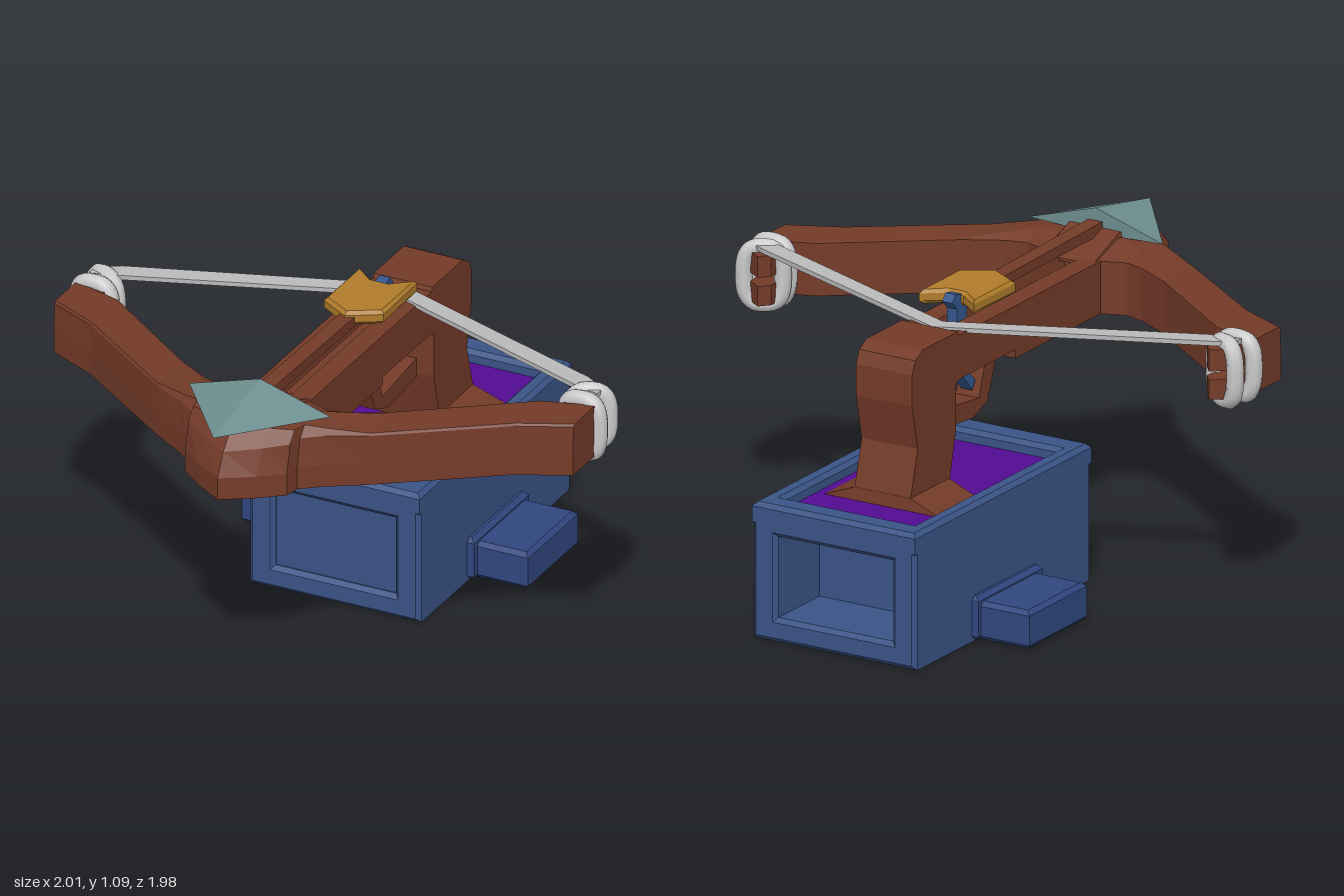
import * as THREE from 'three';

const mat = (color) => new THREE.MeshStandardMaterial({ color, flatShading: true, side: THREE.DoubleSide });
const WOOD = mat(0x743b28), BLUE = mat(0x3a5486), TAB = mat(0x30477f), PURPLE = mat(0x520c92);
const STEEL = mat(0x6f8f90), GOLD = mat(0xb07c2a), LATCH = mat(0x35588f);
const CORD = new THREE.MeshStandardMaterial({ color: 0xcccccc });
const BAND = mat(0xbababa);

const shapeOf = (pts) => new THREE.Shape(pts.map(([x, y]) => new THREE.Vector2(x, y)));

// Extrusion from depth a to b, with an optional one-step chamfer that stays inside a..b
function extrude(shape, a, b, bevel = 0) {
  return new THREE.ExtrudeGeometry(shape, {
    depth: b - a - 2 * bevel, bevelEnabled: bevel > 0, bevelSize: bevel,
    bevelThickness: bevel, bevelSegments: 1, curveSegments: 4,
  }).translate(0, 0, a + bevel);
}
// Outline in (x, z), extruded upward
const slab = (pts, y0, y1, bevel) =>
  extrude(shapeOf(pts.map(([x, z]) => [x, -z])), y0, y1, bevel).rotateX(-Math.PI / 2);
// Outline in (z, y), extruded symmetrically across x
const profile = (pts, halfWidth, bevel) =>
  extrude(shapeOf(pts), -halfWidth, halfWidth, bevel).rotateY(-Math.PI / 2);

const rect = (x0, y0, x1, y1) => [[x0, y0], [x1, y0], [x1, y1], [x0, y1]];

// Skin over equal-length rings of [x, y, z], capped at both ends and facing outward
function loft(rings) {
  const tris = [], n = rings[0].length;
  for (let i = 0; i < rings.length - 1; i++) {
    for (let j = 0; j < n; j++) {
      const k = (j + 1) % n, A = rings[i], B = rings[i + 1];
      tris.push([A[j], A[k], B[k]], [A[j], B[k], B[j]]);
    }
  }
  const last = rings[rings.length - 1];
  for (let j = 1; j < n - 1; j++) {
    tris.push([rings[0][0], rings[0][j + 1], rings[0][j]], [last[0], last[j], last[j + 1]]);
  }
  const v = (p) => new THREE.Vector3(...p);
  const volume = tris.reduce((s, [a, b, c]) => s + v(a).dot(v(b).cross(v(c))), 0);
  if (volume < 0) tris.forEach((t) => t.reverse());
  const g = new THREE.BufferGeometry();
  g.setAttribute('position', new THREE.Float32BufferAttribute(tris.flat(2), 3));
  g.computeVertexNormals();
  return g;
}

export function createModel() {
  const model = new THREE.Group();
  const add = (name, geometry, material) => {
    const m = new THREE.Mesh(geometry, material);
    m.name = name;
    model.add(m);
    return m;
  };
  const box = (name, material, x0, y0, z0, x1, y1, z1) =>
    add(name, new THREE.BoxGeometry(x1 - x0, y1 - y0, z1 - z0)
      .translate((x0 + x1) / 2, (y0 + y1) / 2, (z0 + z1) / 2), material);

  // Crate: hollow body with a window at the back, filled toward the front
  const c = 0.015;
  const body = shapeOf(rect(-0.32 + c, c, 0.32 - c, 0.43 - c));
  body.holes.push(new THREE.Path(rect(-0.24, 0.07, 0.24, 0.385).map((p) => new THREE.Vector2(...p))));
  add('crateBody', extrude(body, -0.99, 0.11, c), BLUE);
  box('crateFilling', BLUE, -0.25, 0.04, -0.72, 0.25, 0.4, 0.09);

  // Raised rim around the lining on top
  const rim = shapeOf(rect(-0.32 + c, -0.11 + c, 0.32 - c, 0.99 - c));
  rim.holes.push(new THREE.Path(rect(-0.27, -0.02, 0.27, 0.91).map((p) => new THREE.Vector2(...p))));
  add('crateRim', extrude(rim, 0.395, 0.48, c).rotateX(-Math.PI / 2), BLUE);
  box('lining', PURPLE, -0.28, 0.425, -0.92, 0.28, 0.436, 0.03);

  // Side tabs with a flange against the crate
  for (const s of [-1, 1]) {
    const span = (a, b, z0, z1, e) => rect(Math.min(s * a, s * b) + e, z0 + e, Math.max(s * a, s * b) - e, z1 - e);
    add('sideTab', slab(span(0.3, 0.535, -0.62, -0.26, c), 0.005, 0.14, c), TAB);
    add('tabFlange', slab(span(0.3, 0.345, -0.635, -0.235, c), 0.005, 0.16, c), TAB);
  }

  // Grip with a flared foot
  add('grip', profile([
    [-0.375, 0.94], [-0.39, 0.98], [-0.61, 0.98], [-0.655, 0.955], [-0.675, 0.91], [-0.675, 0.8],
    [-0.64, 0.64], [-0.685, 0.475], [-0.69, 0.43], [-0.45, 0.43], [-0.44, 0.475], [-0.4, 0.64], [-0.4, 0.8],
    [-0.375, 0.81],
  ], 0.11), WOOD);
  add('gripFoot', loft([[0.225, 0.436, -0.45, -0.69], [0.11, 0.48, -0.445, -0.685]].map(([w, y, a, b]) =>
    [[-w, y, a], [w, y, a], [w, y, b], [-w, y, b]])), WOOD);

  // Grooved stock running forward to the bow
  add('stock', extrude(shapeOf([
    [-0.11, 0.81], [0.11, 0.81], [0.11, 0.965], [0.035, 0.965], [0.03, 0.92],
    [-0.03, 0.92], [-0.035, 0.965], [-0.11, 0.965],
  ]), -0.4, 0.66), WOOD);
  box('stockUnderside', WOOD, -0.11, 0.78, -0.03, 0.11, 0.82, 0.66);

  // Trigger guard, trigger and latch
  add('triggerGuard', profile([
    [-0.03, 0.82], [-0.1, 0.64], [-0.19, 0.605], [-0.41, 0.625], [-0.41, 0.695],
    [-0.155, 0.665], [-0.1, 0.82],
  ], 0.045), WOOD);
  add('trigger', profile([
    [-0.19, 0.82], [-0.25, 0.82], [-0.24, 0.78], [-0.16, 0.69], [-0.14, 0.72], [-0.2, 0.78],
  ], 0.022), LATCH);
  add('latch', profile([
    [-0.19, 0.93], [-0.25, 0.93], [-0.25, 1.0], [-0.28, 1.03], [-0.26, 1.055], [-0.19, 1.04],
  ], 0.02), LATCH);

  // Bow: sections along x of [x, back z, rear top z, front z, top y, front chamfer y]
  const half = [
    [0, 0.5, 0.62, 0.955, 1.01, 0.94], [0.11, 0.5, 0.62, 0.885, 1.005, 0.95], [0.19, 0.53, 0.6, 0.82, 0.998, 0.96],
    [0.2, 0.53, 0.6, 0.765, 0.996, 0.96], [0.27, 0.51, 0.55, 0.71, 0.985, 0.965],
    [0.395, 0.44, 0.46, 0.63, 0.968, 0.96], [0.59, 0.295, 0.31, 0.49, 0.968, 0.96],
    [0.79, 0.145, 0.16, 0.345, 0.968, 0.96], [0.97, 0.09, 0.1, 0.26, 0.968, 0.96],
  ];
  const section = (s) => ([x, zb, zt, zf, yt, yc]) => [
    [s * x, 0.78, zb], [s * x, 0.965, zb], [s * x, yt, zt], [s * x, yt, zf - (yt - yc) * 1.5],
    [s * x, yc, zf - (yt - yc) * 0.6], [s * x, 0.86, zf], [s * x, 0.78, zf],
  ];
  add('bow', loft([...half.slice(1).reverse().map(section(-1)), ...half.map(section(1))]), WOOD);

  // Hump under the arrowhead
  add('bowHump', loft([[0.47, 0.965, 0.95], [0.64, 1.03, 0.95], [0.78, 1.0, 0.95]].map(([z, y, b], i) => {
    const w = [0.11, 0.11, 0.17][i];
    return [[-w, b, z], [w, b, z], [w * 0.9, y - 0.005, z], [-w * 0.9, y - 0.005, z]];
  })), WOOD);

  // Limb tips, their bindings and the bowstring
  const loop = [];
  for (let i = 0; i < 24; i++) {
    const a = (i / 24) * Math.PI * 2, f = (t) => Math.sign(t) * Math.abs(t) ** 0.7;
    loop.push(new THREE.Vector3(0.065 * f(Math.cos(a)), 0.1 * f(Math.sin(a)), 0));
  }
  const ring = new THREE.TubeGeometry(new THREE.CatmullRomCurve3(loop, true), 40, 0.03, 8, true);
  for (const s of [-1, 1]) {
    for (const [y0, y1] of [[0.785, 0.855], [0.885, 0.96]]) {
      add('limbProng', slab([[s * 0.86, 0.13], [s * 0.96, 0.13], [s * 0.935, -0.02], [s * 0.885, -0.055],
        [s * 0.855, -0.02]], y0, y1), WOOD);
    }
    add('binding', ring, CORD).position.set(s * 0.912, 0.872, 0.08);
    const tilted = add('binding', ring, CORD);
    tilted.position.set(s * 0.905, 0.872, 0.012);
    tilted.rotation.y = s * 0.45;
    add('bowstring', loft([[0, 0.965, -0.375, -0.31], [0.87, 0.978, -0.045, 0.03], [0.95, 0.975, 0.0, 0.045]]
      .map(([x, y, a, b]) => [[s * x, y - 0.008, a], [s * x, y + 0.008, a], [s * x, y + 0.008, b],
        [s * x, y - 0.008, b]])), BAND);
  }

  // Arrow: shaft, head and fletching
  add('arrowShaft', loft([[-0.2, 1.0, 1.032], [0.66, 1.005, 1.046]].map(([z, a, b]) =>
    [[-0.028, a, z], [0.028, a, z], [0.028, b, z], [-0.028, b, z]])), WOOD);
  add('arrowHead', loft([
    [[-0.265, 1.01, 0.645], [0, 1.0, 0.645], [0.265, 1.01, 0.645], [0, 1.09, 0.645]],
    Array(4).fill([0, 1.025, 0.985]),
  ]), STEEL);
  add('fletching', slab([
    [-0.1, -0.27], [-0.035, -0.215], [0.035, -0.215], [0.1, -0.27], [0.1, -0.04], [0, 0.02], [-0.1, -0.04],
  ], 1.005, 1.055, 0.012), GOLD);

  return model;
}
